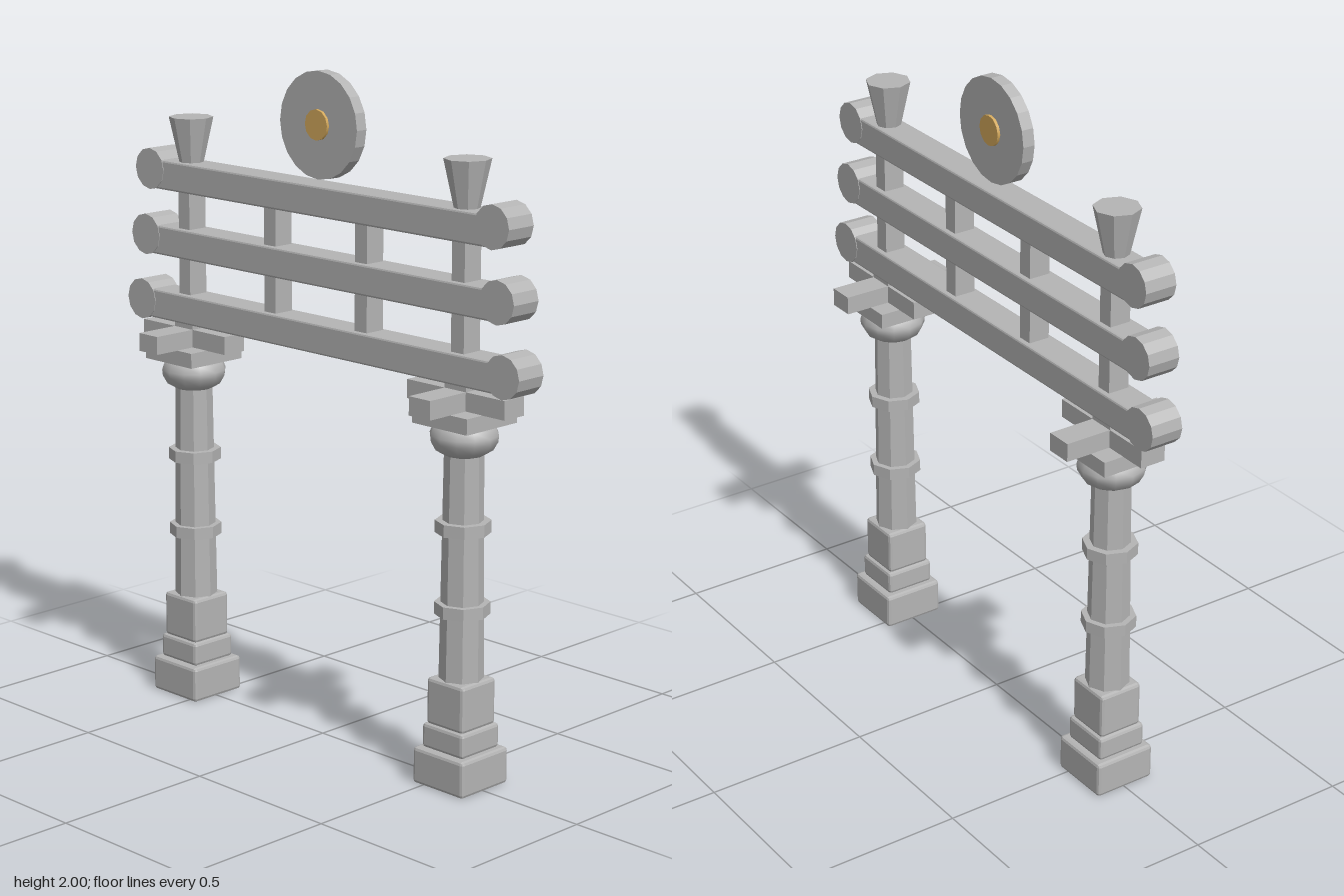
import * as THREE from 'three';
import { RoundedBoxGeometry } from 'three/addons/geometries/RoundedBoxGeometry.js';

export function createModel() {
  const group = new THREE.Group();
  const stone = new THREE.MeshStandardMaterial({ color: 0xb4b4b4, flatShading: true });
  stone.name = 'stone grey';
  const smoothStone = stone.clone();
  smoothStone.name = 'smooth stone grey';
  smoothStone.flatShading = false;
  const gold = new THREE.MeshStandardMaterial({ color: 0xd4a95c });
  gold.name = 'gold';

  const add = (parent, name, geometry, x, y, z = 0, material = stone) => {
    const mesh = new THREE.Mesh(geometry, material);
    mesh.name = name;
    mesh.position.set(x, y, z);
    parent.add(mesh);
    return mesh;
  };
  const box = (w, h, d) => new THREE.BoxGeometry(w, h, d);
  const block = (w, h, d, r = 0.01) => new RoundedBoxGeometry(w, h, d, 1, r);
  // Cylinder whose axis runs front to back
  const disc = (r, depth, sides) => new THREE.CylinderGeometry(r, r, depth, sides).rotateX(Math.PI / 2);

  // Pillars with plinth, bands, capital, bracket and finial
  for (const side of [-1, 1]) {
    const pillar = new THREE.Group();
    pillar.name = side > 0 ? 'leftPillar' : 'rightPillar';
    pillar.position.x = side * 0.561;
    group.add(pillar);

    add(pillar, 'plinthBase', block(0.194, 0.11, 0.194), 0, 0.057);
    add(pillar, 'plinthStep', block(0.157, 0.074, 0.157), 0, 0.148);
    add(pillar, 'plinthTop', block(0.14, 0.14, 0.14), 0, 0.252);
    add(pillar, 'column', new THREE.CylinderGeometry(0.056, 0.065, 0.7, 8), 0, 0.66);
    for (const y of [0.53, 0.77]) {
      add(pillar, 'columnBand', new THREE.CylinderGeometry(0.08, 0.08, 0.036, 8), 0, y);
    }
    const bulge = [[0, 0.98], [0.058, 0.98], [0.083, 0.995], [0.097, 1.02], [0.099, 1.038], [0.09, 1.06], [0.075, 1.072], [0, 1.072]];
    add(pillar, 'capital',
      new THREE.LatheGeometry(bulge.map(([r, y]) => new THREE.Vector2(r, y)), 12), 0, 0, 0, smoothStone);
    add(pillar, 'bracketBase', box(0.206, 0.046, 0.206), 0, 1.092);
    add(pillar, 'bracketArmAcross', box(0.366, 0.055, 0.08), 0, 1.142);
    add(pillar, 'bracketArmDeep', box(0.08, 0.055, 0.366), 0, 1.142);
    add(pillar, 'bracketCushion', box(0.08, 0.02, 0.08), 0, 1.177);
    add(pillar, 'finial', new THREE.CylinderGeometry(0.067, 0.036, 0.14, 8), 0, 1.741);
  }

  // Three stacked beams with round ends, each shorter than the one below
  const beams = [
    { y: 1.228, end: 0.741, endY: 1.236 },
    { y: 1.428, end: 0.718, endY: 1.44 },
    { y: 1.63, end: 0.696, endY: 1.644 },
  ];
  for (const { y, end, endY } of beams) {
    add(group, 'beam', block(end * 2, 0.09, 0.096, 0.006), 0, y);
    for (const side of [-1, 1]) {
      add(group, 'beamEnd', disc(0.063, 0.1, 12), side * end, endY);
    }
  }

  // Upright struts between the beams
  for (const x of [-0.561, -0.187, 0.187, 0.561]) {
    add(group, 'strut', box(0.048, 0.4, 0.066), x, 1.428);
  }

  // Round crest with a gold boss on both faces
  add(group, 'crestDisc', disc(0.156, 0.038, 20), 0, 1.844);
  for (const side of [-1, 1]) {
    add(group, 'crestBoss', disc(0.045, 0.009, 12), 0, 1.846, side * 0.0233, gold);
  }
  return group;
}
